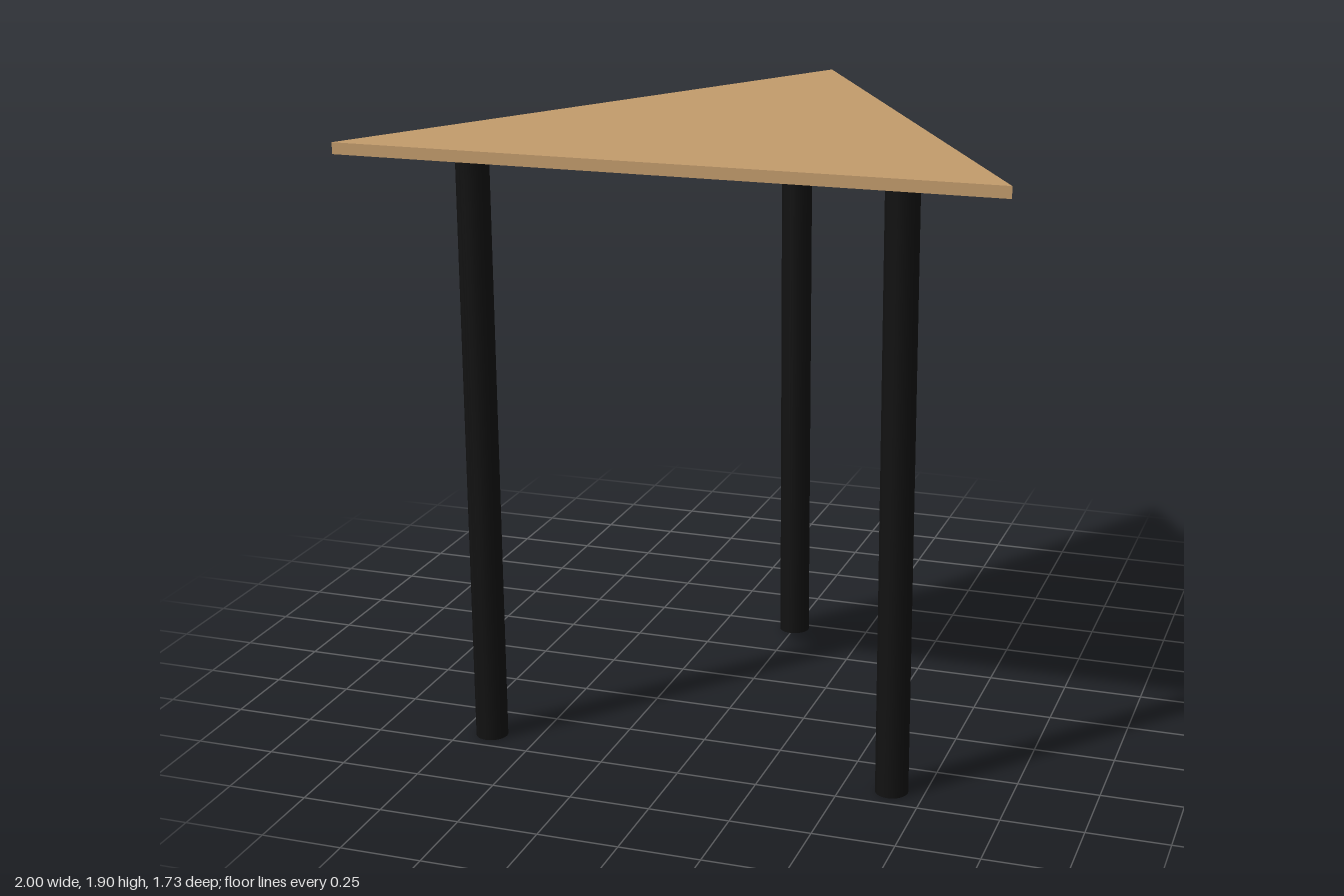
import * as THREE from 'three';

export function createModel() {
  const group = new THREE.Group();
  const wood = new THREE.MeshStandardMaterial({ color: 0xc19a6b });
  wood.name = 'wood';
  const black = new THREE.MeshStandardMaterial({ color: 0x111111 });
  black.name = 'black';

  const topRadius = 2 / Math.sqrt(3); // centre of the triangle to a corner
  const legDistance = 0.752; // centre of the triangle to a leg
  const legHeight = 1.87;
  const centreZ = 0.289;
  const corners = [-90, 30, 150].map((a) => THREE.MathUtils.degToRad(a));

  // Triangular table top
  const shape = new THREE.Shape(
    corners.map((a) => new THREE.Vector2(topRadius * Math.cos(a), -(centreZ + topRadius * Math.sin(a))))
  );
  const topGeometry = new THREE.ExtrudeGeometry(shape, { depth: 0.035, bevelEnabled: false });
  topGeometry.rotateX(-Math.PI / 2);
  const tableTop = new THREE.Mesh(topGeometry, wood);
  tableTop.name = 'tableTop';
  tableTop.position.y = legHeight;
  group.add(tableTop);

  // One round leg inside each corner
  const legGeometry = new THREE.CylinderGeometry(0.05, 0.05, legHeight, 32);
  const names = ['backLeg', 'frontLeftLeg', 'frontRightLeg'];
  corners.forEach((a, i) => {
    const leg = new THREE.Mesh(legGeometry, black);
    leg.name = names[i];
    leg.position.set(legDistance * Math.cos(a), legHeight / 2, centreZ + legDistance * Math.sin(a));
    group.add(leg);
  });

  return group;
}
